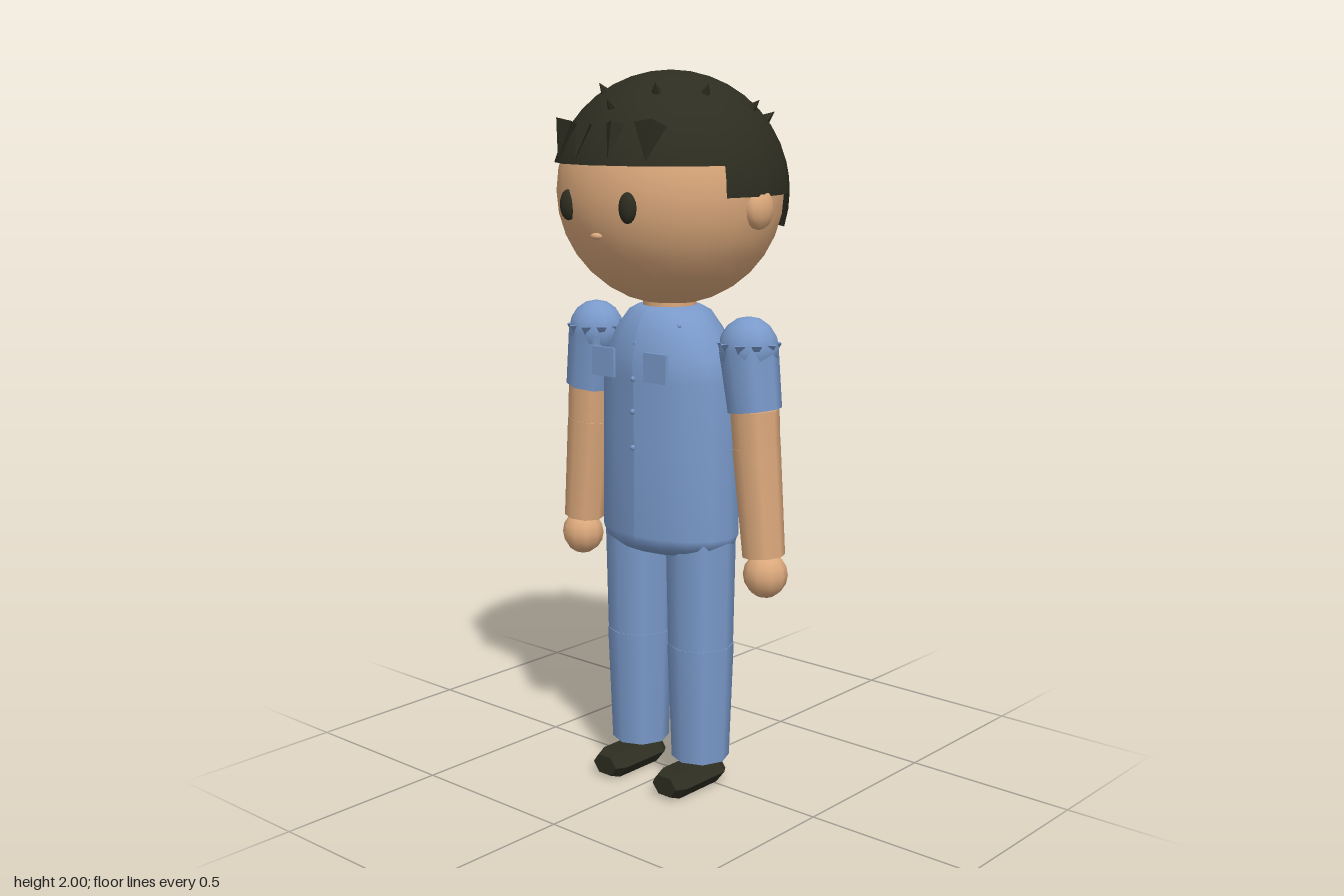
import * as THREE from 'three';

const mat = (name, color, side = THREE.FrontSide) => {
  const m = new THREE.MeshStandardMaterial({ color, side });
  m.name = name;
  return m;
};

export function createModel() {
  const skin = mat('skin', 0xdca97c);
  const blue = mat('blue cloth', 0x7a9acb);
  const dark = mat('dark hair and shoes', 0x2d2d21, THREE.DoubleSide);
  const model = new THREE.Group();
  const Z = 0.025; // centre line of body and limbs
  const V = (x, y, z) => new THREE.Vector3(x, y, z);
  const UP = V(0, 1, 0);

  function add(name, geo, material, x = 0, y = 0, z = 0, parent = model) {
    const m = new THREE.Mesh(geo, material);
    m.name = name;
    m.position.set(x, y, z);
    parent.add(m);
    return m;
  }
  const ball = (rx, ry, rz, w = 12, h = 8) => new THREE.SphereGeometry(1, w, h).scale(rx, ry, rz);
  const faceted = (geo) => {
    const g = geo.toNonIndexed();
    g.computeVertexNormals();
    return g;
  };
  // tapered limb from upper point a to lower point b
  function limb(name, a, b, ra, rb, material, parent) {
    const d = a.clone().sub(b);
    const m = add(name, new THREE.CylinderGeometry(ra, rb, d.length(), 8), material, 0, 0, 0, parent);
    m.position.copy(a).add(b).multiplyScalar(0.5);
    m.quaternion.setFromUnitVectors(UP, d.normalize());
  }

  // head and face
  const C = V(0, 1.675, 0.02), R = 0.325;
  add('head', ball(0.31, 0.31, 0.31, 24, 16), skin, 0, 1.68, 0.02);
  for (const s of [-1, 1]) {
    add('ear', ball(0.033, 0.055, 0.05), skin, s * 0.302, 1.642, 0.015);
    add('eye', ball(0.026, 0.041, 0.02), dark, s * 0.106, 1.65, 0.307);
  }
  add('nose', ball(0.02, 0.009, 0.012, 8, 6), skin, 0, 1.573, 0.312);

  // hair cap, lower at the sides and lowest at the back
  const P = Math.PI;
  const shell = (name, w, h, p0, pl, t0, t1) =>
    add(name, new THREE.SphereGeometry(R, w, h, p0, pl, t0 * P, (t1 - t0) * P), dark, C.x, C.y, C.z);
  shell('hairCap', 16, 8, 0, 2 * P, 0, 0.42);
  shell('hairSides', 10, 1, P * 7 / 8, P * 10 / 8, 0.42, 0.5);
  shell('hairBack', 4, 2, P * 5 / 4, P / 2, 0.5, 0.594);

  // cone from base point towards a direction
  function spike(name, base, dir, r, h, sides = 5) {
    const g = faceted(new THREE.ConeGeometry(r, h, sides).translate(0, h / 2, 0));
    const m = add(name, g, dark);
    m.position.copy(base);
    m.quaternion.setFromUnitVectors(UP, dir.clone().normalize());
  }
  // x, z, radius, height of spikes standing on the cap
  const tufts = [
    [0.22, -0.057, 0.016, 0.035], [0.178, 0.085, 0.016, 0.035], [0.092, 0.18, 0.016, 0.035],
    [0, 0.25, 0.018, 0.035], [0.15, -0.195, 0.022, 0.045], [0, -0.255, 0.022, 0.05],
  ];
  for (const [x, z, r, h] of tufts) {
    for (const s of x ? [-1, 1] : [1]) {
      const d = V(s * x, Math.sqrt(R * R - x * x - (z - C.z) ** 2), z - C.z);
      spike('hairSpike', C.clone().addScaledVector(d, 0.975), d, r, h);
    }
  }
  for (const x of [-0.37, 0, 0.37]) {
    const d = V(x, 0.07, -Math.sqrt(1 - x * x)).normalize();
    spike('backSpike', C.clone().addScaledVector(d, R - 0.015), d, 0.025, 0.06);
  }
  // fringe points hanging over the forehead
  for (const [x, r] of [[-0.15, 0.042], [-0.058, 0.026], [0.05, 0.026], [0.14, 0.042]]) {
    const z = C.z + Math.sqrt(0.27 ** 2 - x * x) + 0.005;
    spike('fringeSpike', V(x, 1.86, z), V(x * 0.1, -0.09, 0.035), r, 0.1, 4);
  }

  // neck
  add('neck', new THREE.CylinderGeometry(0.075, 0.075, 0.08, 12), skin, 0, 1.36, Z);

  // shirt body: oval, rounder towards the collar
  const profile = [[0, 0.69], [0.17, 0.69], [0.205, 0.71], [0.22, 0.74], [0.218, 1.0], [0.214, 1.17],
    [0.2, 1.23], [0.16, 1.305], [0.12, 1.355], [0.09, 1.37], [0, 1.372]];
  const torso = new THREE.LatheGeometry(profile.map(([r, y]) => new THREE.Vector2(r, y)), 16);
  const tp = torso.attributes.position;
  for (let i = 0; i < tp.count; i++) {
    const k = Math.max(0, (tp.getY(i) - 1.15) / 0.22);
    tp.setZ(i, tp.getZ(i) * (0.68 + 0.24 * k));
  }
  torso.computeVertexNormals();
  add('shirt', torso, blue, 0, 0, Z);

  // pockets and buttons
  for (const s of [-1, 1]) {
    add('pocket', new THREE.BoxGeometry(0.08, 0.08, 0.009), blue, s * 0.095, 1.22, 0.19);
    add('collarButton', ball(0.007, 0.007, 0.007, 6, 4), blue, s * 0.105, 1.325, 0.105);
  }
  [[1.275, 0.162], [1.18, 0.175], [1.09, 0.178], [0.99, 0.178]].forEach(([y, z]) =>
    add('button', ball(0.008, 0.008, 0.008, 6, 4), blue, 0, y, z));

  for (const s of [-1, 1]) {
    // arm
    const arm = new THREE.Group();
    arm.name = s > 0 ? 'leftArm' : 'rightArm';
    model.add(arm);
    const shoulder = V(s * 0.28, 1.275, Z), cuff = V(s * 0.303, 1.11, Z);
    const elbow = V(s * 0.31, 1.01, Z), wrist = V(s * 0.338, 0.715, Z);
    add('shoulder', ball(0.083, 0.085, 0.078), blue, shoulder.x, shoulder.y, Z, arm);
    limb('sleeve', shoulder, cuff, 0.08, 0.073, blue, arm);
    limb('upperArm', cuff, elbow, 0.066, 0.064, skin, arm);
    add('elbow', ball(0.064, 0.064, 0.064, 8, 6), skin, elbow.x, elbow.y, Z, arm);
    limb('forearm', elbow, wrist, 0.065, 0.058, skin, arm);
    add('hand', ball(0.061, 0.064, 0.061, 10, 8), skin, s * 0.344, 0.664, Z, arm);
    // pointed trim around the shoulder
    for (let i = 0; i < 10; i++) {
      const a = i / 10 * 2 * P;
      const trim = add('shoulderTrim', new THREE.ConeGeometry(0.02, 0.03, 4), blue,
        shoulder.x + Math.cos(a) * 0.072, 1.275, Z + Math.sin(a) * 0.07, arm);
      trim.rotation.x = P;
    }

    // leg
    const leg = new THREE.Group();
    leg.name = s > 0 ? 'leftLeg' : 'rightLeg';
    model.add(leg);
    const hip = V(s * 0.115, 0.74, Z), knee = V(s * 0.115, 0.42, Z), ankle = V(s * 0.115, 0.085, Z);
    limb('thigh', hip, knee, 0.098, 0.092, blue, leg);
    add('knee', ball(0.09, 0.08, 0.09, 8, 6), blue, knee.x, knee.y, Z, leg);
    limb('shin', knee, ankle, 0.094, 0.082, blue, leg);

    // shoe: six-sided bar with bevelled ends
    const pts = [[0, 0], [0.044, 0], [0.061, 0.025], [0.061, 0.185], [0.044, 0.215], [0, 0.215]];
    const shoe = new THREE.LatheGeometry(pts.map(([r, y]) => new THREE.Vector2(r, y)), 6, P / 2);
    shoe.rotateX(P / 2).scale(1, 0.71, 1);
    add('shoe', faceted(shoe), dark, s * 0.115, 0.0375, -0.035, leg);
  }
  return model;
}
